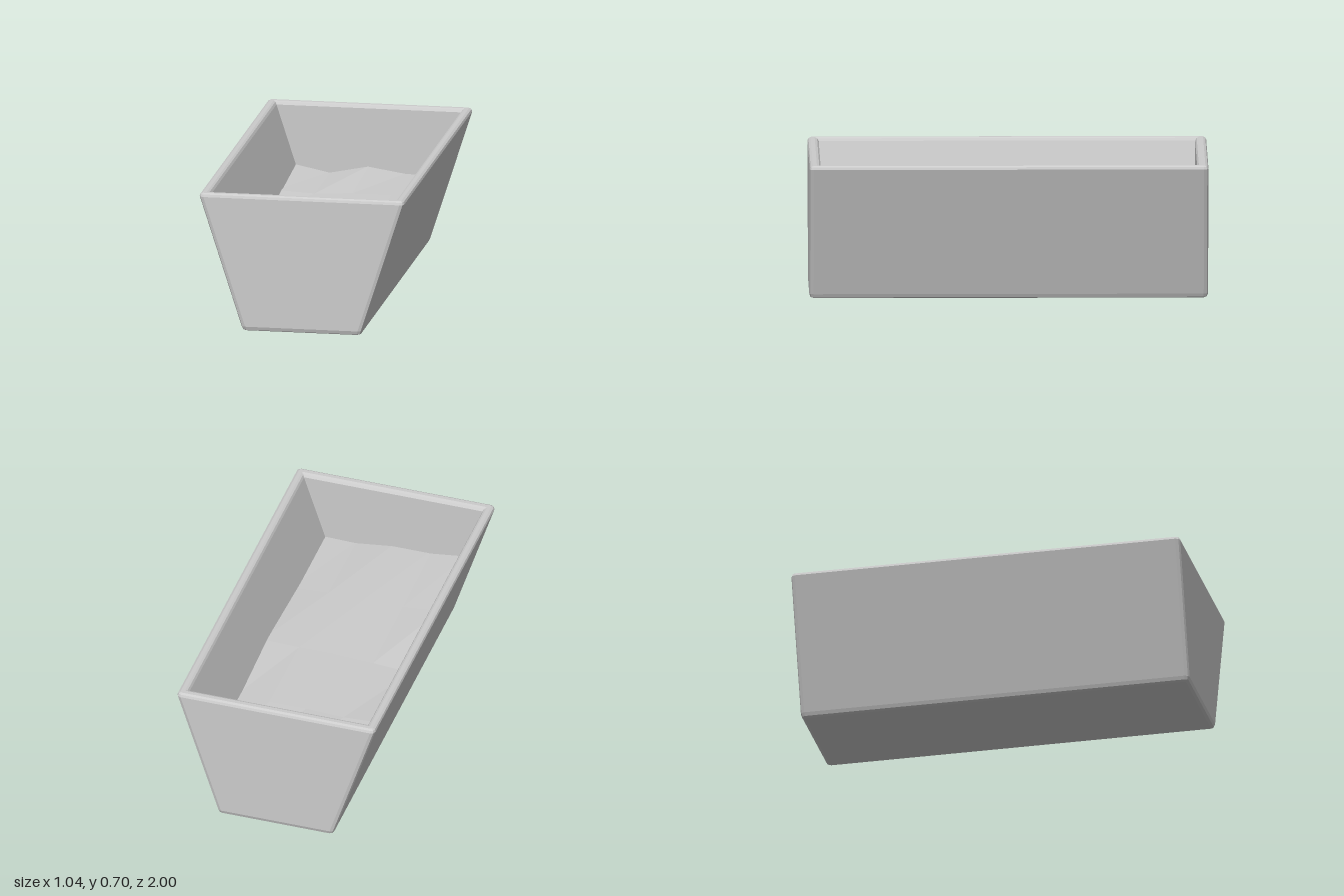
import * as THREE from 'three';

const material = () => new THREE.MeshStandardMaterial({ color: 0xcccccc, flatShading: true });

// Rounded rectangle of half sizes hx, hz at height y, three points per corner
function ring([y, hx, hz, r]) {
  const points = [];
  const signs = [[1, 1], [-1, 1], [-1, -1], [1, -1]];
  signs.forEach(([sx, sz], corner) => {
    for (let k = 0; k < 3; k++) {
      const a = (corner + k / 2) * Math.PI / 2;
      points.push([sx * (hx - r) + r * Math.cos(a), y, sz * (hz - r) + r * Math.sin(a)]);
    }
  });
  return points;
}

// Skin over the rings, closed at both ends
function loft(sections) {
  const rings = sections.map(ring);
  const n = rings[0].length, last = rings.length - 1;
  const index = [];
  for (let j = 0; j < last; j++) {
    for (let i = 0; i < n; i++) {
      const a = j * n + i, b = j * n + (i + 1) % n;
      index.push(a, a + n, b, b, a + n, b + n);
    }
  }
  for (let i = 1; i < n - 1; i++) {
    index.push(0, i, i + 1);
    index.push(last * n, last * n + i + 1, last * n + i);
  }
  const geometry = new THREE.BufferGeometry();
  geometry.setAttribute('position', new THREE.Float32BufferAttribute(rings.flat(2), 3));
  geometry.setIndex(index);
  geometry.computeVertexNormals();
  return geometry;
}

export function createModel() {
  const group = new THREE.Group();

  // Flared trough: base bevel, outer wall, rim, inner wall, inner floor [y, hx, hz, corner]
  const trough = new THREE.Mesh(loft([
    [0, 0.285, 0.98, 0.01],
    [0.006, 0.3, 0.994, 0.018],
    [0.023, 0.308, 1, 0.022],
    [0.684, 0.521, 1, 0.022],
    [0.696, 0.517, 0.995, 0.018],
    [0.702, 0.506, 0.984, 0.01],
    [0.702, 0.487, 0.964, 0.006],
    [0.697, 0.477, 0.952, 0.004],
    [0.685, 0.47, 0.944, 0.002],
    [0.06, 0.268, 0.944, 0.002],
  ]), material());
  trough.name = 'trough';
  group.add(trough);

  // Uneven soil: heights by row from back to front, each from -x to +x
  const heights = [
    [0.385, 0.345, 0.385, 0.355, 0.345],
    [0.36, 0.35, 0.36, 0.36, 0.34],
    [0.33, 0.345, 0.355, 0.355, 0.36],
    [0.37, 0.35, 0.36, 0.35, 0.34],
    [0.385, 0.36, 0.36, 0.335, 0.34],
  ];
  const soilGeometry = new THREE.PlaneGeometry(0.78, 1.94, 4, 4).rotateX(-Math.PI / 2);
  const position = soilGeometry.attributes.position;
  heights.flat().forEach((y, i) => position.setY(i, y));
  soilGeometry.computeVertexNormals();
  const soil = new THREE.Mesh(soilGeometry, material());
  soil.name = 'soil';
  group.add(soil);

  return group;
}
